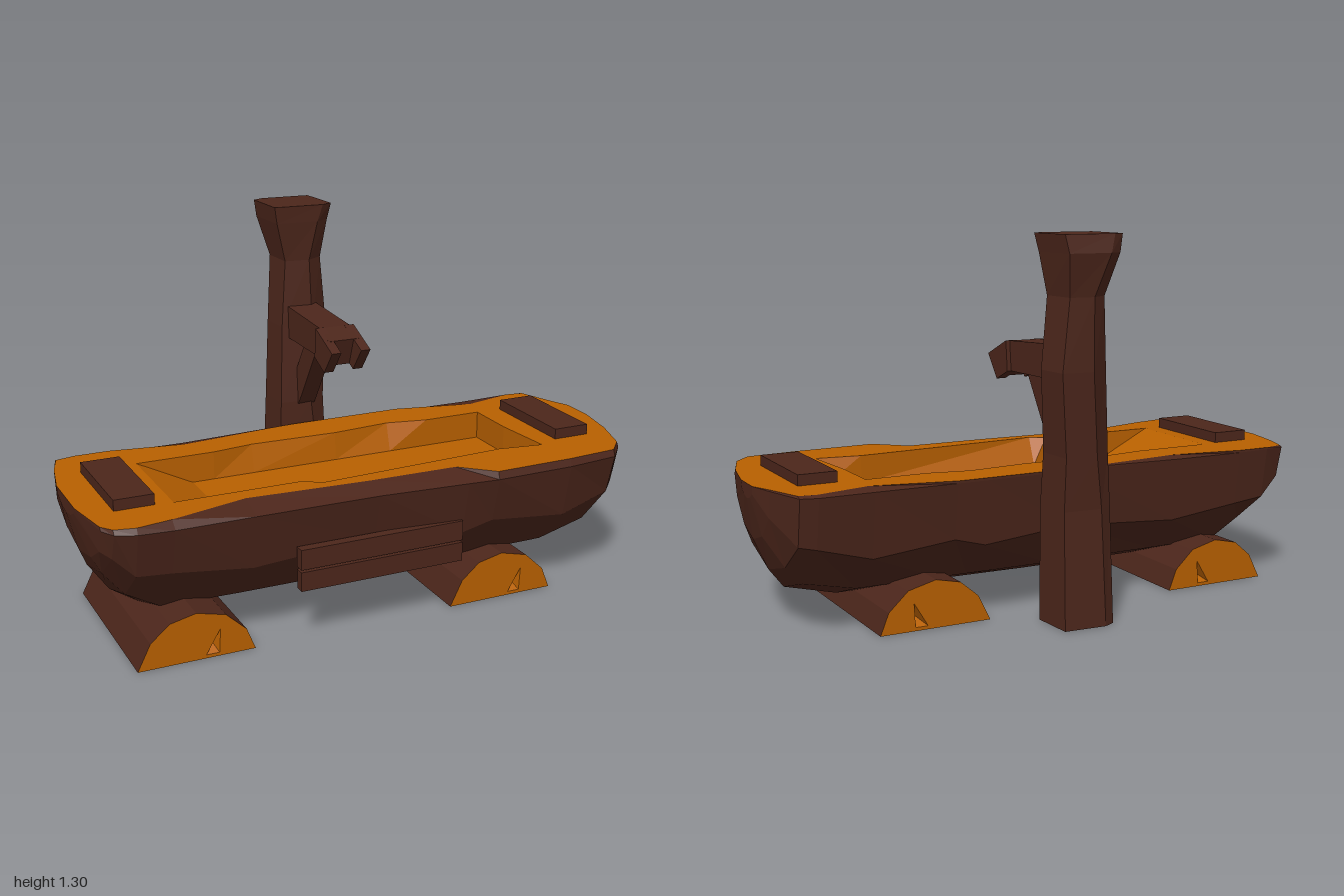
import * as THREE from 'three';

const mat = (name, color) => new THREE.MeshStandardMaterial({ name, color, flatShading: true, side: THREE.DoubleSide });

// Flat-faced skin through a row of rings with equal point counts
function loft(rings, { closed = true, caps = '' } = {}) {
  const out = [];
  const tri = (...p) => p.forEach((q) => out.push(...q));
  const n = rings[0].length;
  for (let i = 0; i < rings.length - 1; i++) {
    for (let j = 0; j < (closed ? n : n - 1); j++) {
      const k = (j + 1) % n;
      const [a, b, c, d] = [rings[i][j], rings[i][k], rings[i + 1][k], rings[i + 1][j]];
      tri(a, b, c);
      tri(a, c, d);
    }
  }
  const fan = (ring, flip) => {
    const mid = [0, 1, 2].map((k) => ring.reduce((s, p) => s + p[k], 0) / n);
    ring.forEach((p, j) => {
      const q = ring[(j + 1) % n];
      if (flip) tri(mid, q, p);
      else tri(mid, p, q);
    });
  };
  if (caps.includes('start')) fan(rings[0], true);
  if (caps.includes('end')) fan(rings[rings.length - 1], false);
  const g = new THREE.BufferGeometry();
  g.setAttribute('position', new THREE.Float32BufferAttribute(out, 3));
  g.computeVertexNormals();
  return g;
}

const vec2 = (pts) => pts.map(([x, y]) => new THREE.Vector2(x, y));

export function createModel() {
  const bark = mat('bark', 0x4c261b);
  const wood = mat('cutWood', 0xb86000);
  const root = new THREE.Group();
  const add = (name, geo, material, parent = root) => {
    const m = new THREE.Mesh(geo, material);
    m.name = name;
    parent.add(m);
    return m;
  };
  const box = (name, x0, x1, y0, y1, z0, z1) =>
    add(name, new THREE.BoxGeometry(x1 - x0, y1 - y0, z1 - z0), bark)
      .position.set((x0 + x1) / 2, (y0 + y1) / 2, (z0 + z1) / 2);

  // Trough hull stations: x, front z, back z, bottom y, front chamfer, back chamfer
  const stations = [
    [-1.0, 0.22, 0.0, 0.45, 0, 0],
    [-0.97, 0.41, -0.15, 0.32, 0.01, 0],
    [-0.94, 0.45, -0.25, 0.25, 0.01, 0.01],
    [-0.87, 0.465, -0.255, 0.15, 0.01, 0],
    [-0.75, 0.465, -0.255, 0.07, 0.03, 0],
    [-0.48, 0.465, -0.25, 0.065, 0.1, 0.04],
    [-0.05, 0.47, -0.255, 0.065, 0.08, 0],
    [0.27, 0.495, -0.255, 0.065, 0.1, 0],
    [0.38, 0.505, -0.255, 0.065, 0.01, 0],
    [0.67, 0.5, -0.25, 0.065, 0.01, 0.06],
    [0.86, 0.485, -0.255, 0.115, 0.01, 0.02],
    [0.92, 0.42, -0.245, 0.19, 0.01, 0.02],
    [0.97, 0.27, -0.1, 0.3, 0.01, 0.01],
    [1.0, 0.1, -0.02, 0.45, 0, 0],
  ];
  // Half-round section: across, depth
  const section = [[1, 0.06], [0.89, 0.46], [0.52, 0.83], [0, 1], [-0.52, 0.85], [-0.92, 0.5], [-1, 0.02]];
  const top = 0.5;
  const hull = stations.map(([x, f, b, low, cf, cb], i) => {
    const mid = (f + b) / 2, half = (f - b) / 2;
    const wobble = i % 2 ? 0.04 : -0.03;
    const ring = section.map(([t, h], k) => [x, top - (top - low) * (h + (k === 1 || k === 5 ? wobble : 0)), mid + half * t]);
    return [[x, top, f - cf], ...ring, [x, top, b + cb]];
  });
  add('troughBark', loft(hull, { closed: false, caps: 'start end' }), bark);

  // Cut top with the basin opening (outline as x, z)
  const rim = new THREE.Shape(vec2([
    ...stations.map(([x, f, , , cf]) => [x, -(f - cf)]),
    ...stations.map(([x, , b, , , cb]) => [x, -(b + cb)]).reverse(),
  ]));
  const opening = [
    [-0.7, 0.3], [-0.25, 0.3], [-0.2, 0.34], [0.5, 0.3], [0.66, 0.325], [0.64, 0.1],
    [0.64, -0.09], [0.42, -0.09], [0.27, -0.12], [0.05, -0.1], [-0.27, -0.11], [-0.42, -0.09], [-0.7, -0.09],
  ];
  rim.holes.push(new THREE.Path(vec2(opening.map(([x, z]) => [x, -z]))));
  add('troughRim', new THREE.ShapeGeometry(rim).rotateX(-Math.PI / 2).translate(0, top, 0), wood);

  // Basin: sloped at the right-hand end, steep elsewhere
  const floorY = 0.4;
  const floorRing = opening.map(([x, z]) => [
    Math.min(Math.max(x, -0.5), 0.64), floorY, Math.min(Math.max(z, -0.09), 0.3),
  ]);
  add('basin', loft([opening.map(([x, z]) => [x, top, z]), floorRing], { caps: 'end' }), wood);

  // End battens and front planks
  box('rightBatten', -0.895, -0.76, 0.49, 0.537, -0.085, 0.295);
  box('leftBatten', 0.735, 0.87, 0.49, 0.537, -0.085, 0.295);
  box('upperPlank', -0.335, 0.26, 0.265, 0.335, 0.44, 0.475);
  box('lowerPlank', -0.335, 0.26, 0.19, 0.257, 0.44, 0.475);

  // Half-log feet, open underneath, with split ends
  const arc = [[0.2, 0], [0.17, 0.075], [0.1, 0.14], [0, 0.165], [-0.09, 0.145], [-0.155, 0.09], [-0.2, 0]];
  const crack = [[0.03, 0.012], [0.075, 0.012], [0.08, 0.095]];
  const capShape = new THREE.Shape(vec2(arc));
  capShape.holes.push(new THREE.Path(vec2(crack)));
  for (const [side, x] of [['right', -0.68], ['left', 0.445]]) {
    const foot = new THREE.Group();
    foot.name = side + 'FootLog';
    foot.position.set(x, 0, 0.11);
    root.add(foot);
    add('footBark', loft([-0.32, 0.32].map((z) => arc.map(([u, v]) => [u, v, z])), { closed: false }), bark, foot);
    // mirrored in z so both ends share the same outline
    for (const [end, s] of [['front', 1], ['back', -1]]) {
      const cap = new THREE.ShapeGeometry(capShape);
      const split = loft([crack.map(([u, v]) => [u, v, 0]), crack.map(() => [0.06, 0.04, -0.05])]);
      for (const [name, g] of [['CutEnd', cap], ['Split', split]]) {
        const m = add(end + name, g, wood, foot);
        m.position.z = 0.32 * s;
        m.scale.z = s;
      }
    }
  }

  // Gnarled post levels: y, x min, x max, z back, z front, corner cut
  const levels = [
    [0, -0.1, 0.1, -0.46, -0.27, 0.02],
    [0.4, -0.095, 0.1, -0.45, -0.265, 0.03],
    [0.58, -0.09, 0.1, -0.462, -0.265, 0.05],
    [0.86, -0.075, 0.125, -0.48, -0.285, 0.06],
    [1.1, -0.055, 0.1, -0.48, -0.298, 0.04],
    [1.24, -0.09, 0.118, -0.508, -0.285, 0.03],
    [1.3, -0.1, 0.127, -0.495, -0.28, 0.02],
  ];
  const post = levels.map(([y, x0, x1, zb, zf, c]) => [
    [x1, y, zf - c], [x1 - 0.01, y, zb + 0.01], [x0 + c + 0.02, y, zb],
    [x0, y, zb + c], [x0 + 0.005, y, zf - 0.01], [x1 - c - 0.02, y, zf],
  ]);
  add('post', loft(post, { caps: 'start end' }), bark);

  // Side profiles (z, y) extruded across x
  const slab = (name, pts, x0, x1) => {
    const g = new THREE.ExtrudeGeometry(new THREE.Shape(vec2(pts.map(([z, y]) => [-z, y]))), { depth: x1 - x0, bevelEnabled: false });
    add(name, g.rotateY(Math.PI / 2).translate(x0, 0, 0), bark);
  };
  // Spout: solid arm, then an open channel with two lips
  slab('spoutArm', [[-0.34, 0.82], [-0.03, 0.815], [0, 0.805], [-0.02, 0.92], [-0.32, 0.937]], -0.045, 0.07);
  slab('spoutCore', [[-0.03, 0.815], [0.02, 0.793], [0.055, 0.89], [-0.02, 0.92]], -0.045, 0.07);
  const lip = [[-0.03, 0.815], [0.05, 0.78], [0.115, 0.863], [-0.02, 0.921]];
  slab('rightSpoutLip', lip, -0.06, -0.025);
  slab('leftSpoutLip', lip, 0.05, 0.085);
  slab('spoutBrace', [[-0.1, 0.82], [-0.2, 0.825], [-0.29, 0.69], [-0.29, 0.55], [-0.26, 0.58]], -0.02, 0.045);

  return root;
}
